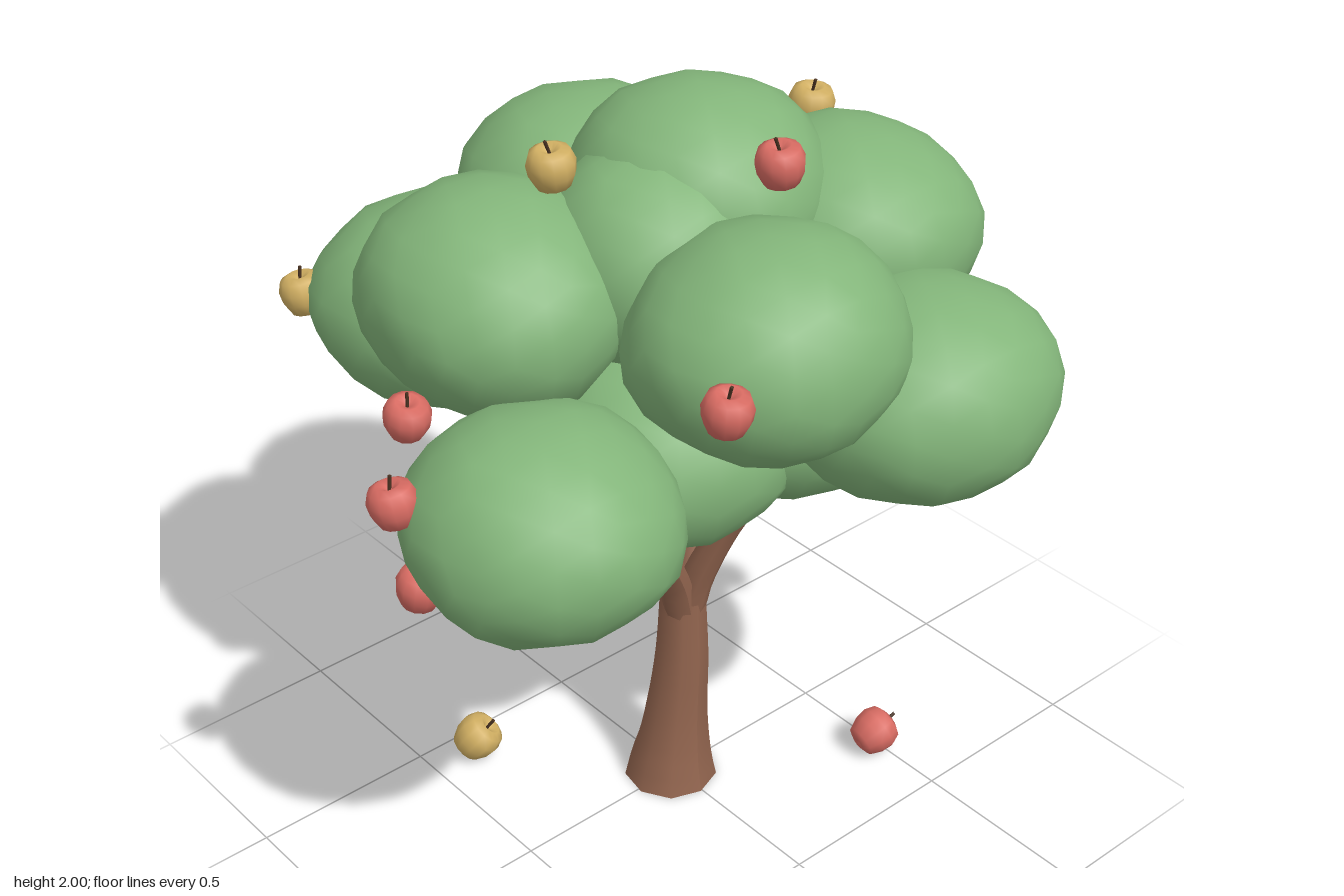
import * as THREE from 'three';
import { mergeVertices } from 'three/addons/utils/BufferGeometryUtils.js';

const material = (name, color) => {
  const m = new THREE.MeshStandardMaterial({ color });
  m.name = name;
  return m;
};

// Tube along a smooth path whose radius is interpolated from a short list
function taperedTube(points, radii, sides) {
  const curve = new THREE.CatmullRomCurve3(points.map((p) => new THREE.Vector3(...p)));
  const segments = 14;
  const geo = new THREE.TubeGeometry(curve, segments, 1, sides);
  const pos = geo.attributes.position;
  const v = new THREE.Vector3();
  for (let i = 0; i < pos.count; i++) {
    const t = Math.floor(i / (sides + 1)) / segments;
    const centre = curve.getPointAt(t);
    const k = t * (radii.length - 1);
    const j = Math.min(Math.floor(k), radii.length - 2);
    const r = THREE.MathUtils.lerp(radii[j], radii[j + 1], k - j);
    v.fromBufferAttribute(pos, i).sub(centre).multiplyScalar(r).add(centre);
    pos.setXYZ(i, v.x, t === 0 ? points[0][1] : v.y, v.z);
  }
  geo.computeVertexNormals();
  return geo;
}

// Lumpy ellipsoid; the seed changes where the dents fall
function leafClump([x, y, z, rx, ry, rz], seed) {
  let geo = new THREE.IcosahedronGeometry(1, 3);
  geo.deleteAttribute('uv');
  geo.deleteAttribute('normal');
  geo = mergeVertices(geo, 1e-4);
  const pos = geo.attributes.position;
  for (let i = 0; i < pos.count; i++) {
    const a = pos.getX(i), b = pos.getY(i), c = pos.getZ(i);
    const k = 1
      + 0.012 * Math.sin(3.1 * a + 2.3 * b + seed * 1.7)
      + 0.012 * Math.sin(3.7 * c - 2.9 * b + seed * 2.9)
      + 0.014 * Math.sin(7.3 * a + 6.1 * c + 5 * b + seed * 4.1);
    pos.setXYZ(i, a * k * rx, b * k * ry, c * k * rz);
  }
  geo.computeVertexNormals();
  geo.translate(x, y, z);
  return geo;
}

export function createModel() {
  const tree = new THREE.Group();
  tree.name = 'appleTree';
  const bark = material('bark', 0x91644e);
  const leaf = material('leaf green', 0x83b57a);
  const red = material('apple red', 0xd96c63);
  const yellow = material('apple yellow', 0xd2b063);
  const stemBrown = material('stem brown', 0x4a3322);

  const add = (parent, name, geo, mat) => {
    const mesh = new THREE.Mesh(geo, mat);
    mesh.name = name;
    parent.add(mesh);
    return mesh;
  };

  // Trunk, flared at the foot
  add(tree, 'trunk', taperedTube(
    [[-0.005, 0, -0.01], [0.01, 0.2, -0.005], [0.026, 0.4, 0], [0.032, 0.58, -0.003]],
    [0.127, 0.103, 0.088, 0.079, 0.073, 0.067, 0.062], 9), bark);
  const base = add(tree, 'trunkBase', new THREE.CircleGeometry(0.122, 9), bark);
  base.rotation.x = Math.PI / 2;
  base.position.set(-0.005, 0.002, -0.01);
  const fork = add(tree, 'trunkFork', new THREE.SphereGeometry(0.06, 9, 6), bark);
  fork.position.set(0.032, 0.572, -0.003);
  fork.scale.y = 0.6;

  // Four branches spreading into the crown
  const branchEnds = [[0.3, -0.13], [0.14, 0.2], [-0.07, -0.22], [-0.25, 0.13]];
  for (const [x, z] of branchEnds) {
    const at = (f, y) => [0.032 + (x - 0.032) * f, y, z * f];
    add(tree, 'branch', taperedTube(
      [at(0.06, 0.54), at(0.17, 0.65), at(0.52, 0.83), at(1, 1.01), at(1.15, 1.1)],
      [0.044, 0.043, 0.037, 0.032, 0.028], 8), bark);
  }

  // Leaf clumps: centre, then radii
  const clumps = [
    [0.11, 1.73, -0.04, 0.32, 0.27, 0.325],
    [-0.06, 1.63, 0.01, 0.29, 0.28, 0.29],
    [-0.085, 1.585, 0.415, 0.33, 0.265, 0.325],
    [0.425, 1.595, 0.14, 0.33, 0.262, 0.335],
    [0.11, 1.565, -0.46, 0.34, 0.27, 0.335],
    [-0.41, 1.575, -0.165, 0.31, 0.27, 0.345],
    [0.29, 1.375, 0.535, 0.34, 0.265, 0.335],
    [-0.61, 1.245, 0.255, 0.33, 0.26, 0.325],
    [0.63, 1.27, -0.285, 0.335, 0.26, 0.345],
    [-0.31, 1.38, -0.53, 0.32, 0.255, 0.335],
    [-0.14, 1.21, 0.1, 0.34, 0.26, 0.35],
    [0.21, 1.25, 0.15, 0.375, 0.265, 0.37],
    [0.13, 1.32, -0.12, 0.34, 0.26, 0.34],
  ];
  clumps.forEach((c, i) => add(tree, 'leafClump', leafClump(c, i + 1), leaf));

  // Apple with a dimple at each end and a leaning stem
  const profile = [[0, -0.043], [0.018, -0.052], [0.042, -0.043], [0.056, -0.012],
    [0.059, 0.016], [0.049, 0.043], [0.029, 0.053], [0.012, 0.044], [0, 0.034]];
  const appleGeo = new THREE.LatheGeometry(
    profile.map((p) => new THREE.Vector2(...p)), 12);
  const stemGeo = new THREE.CylinderGeometry(0.0045, 0.004, 0.04, 5);

  function apple(name, [x, y, z], mat, tilt, scale) {
    const g = new THREE.Group();
    g.name = name;
    add(g, 'appleFlesh', appleGeo, mat);
    const stem = add(g, 'appleStem', stemGeo, stemBrown);
    stem.position.set(-0.004, 0.053, 0);
    stem.rotation.z = 0.25;
    g.position.set(x, y, z);
    g.rotation.set(...tilt);
    g.scale.setScalar(scale);
    tree.add(g);
  }

  const redSpots = [
    [0.085, 1.905, 0.265], [-0.38, 1.605, 0.61], [-0.91, 1.355, 0.12], [0.78, 1.555, 0.06],
    [0.67, 1.305, 0.52], [0.465, 1.12, 0.35], [0.49, 1.06, 0.09], [-0.835, 1.075, 0.085],
    [-0.44, 0.96, 0.24], [0.235, 1.415, -0.735], [0.43, 1.03, -0.48], [0.075, 1.3, -0.6],
    [-0.54, 1.045, -0.02], [-0.645, 1.31, -0.21],
  ];
  const yellowSpots = [
    [-0.28, 1.88, -0.1], [0.525, 1.8, -0.09], [-0.585, 1.405, -0.725], [-0.18, 1.075, -0.54],
  ];
  const hang = (spots, mat, name) => spots.forEach((p, i) =>
    apple(name, p, mat, [0.12 * Math.sin(i * 2.1), i * 1.3, 0.12 * Math.cos(i * 1.7)], 1));
  hang(redSpots, red, 'redApple');
  hang(yellowSpots, yellow, 'yellowApple');

  // Fallen apples
  apple('fallenRedApple', [0.47, 0.066, 0.3], red, [0.3, 0, -1.2], 1.07);
  apple('fallenYellowApple', [-0.375, 0.066, -0.4], yellow, [0.5, 0, -0.6], 1.07);
  return tree;
}
